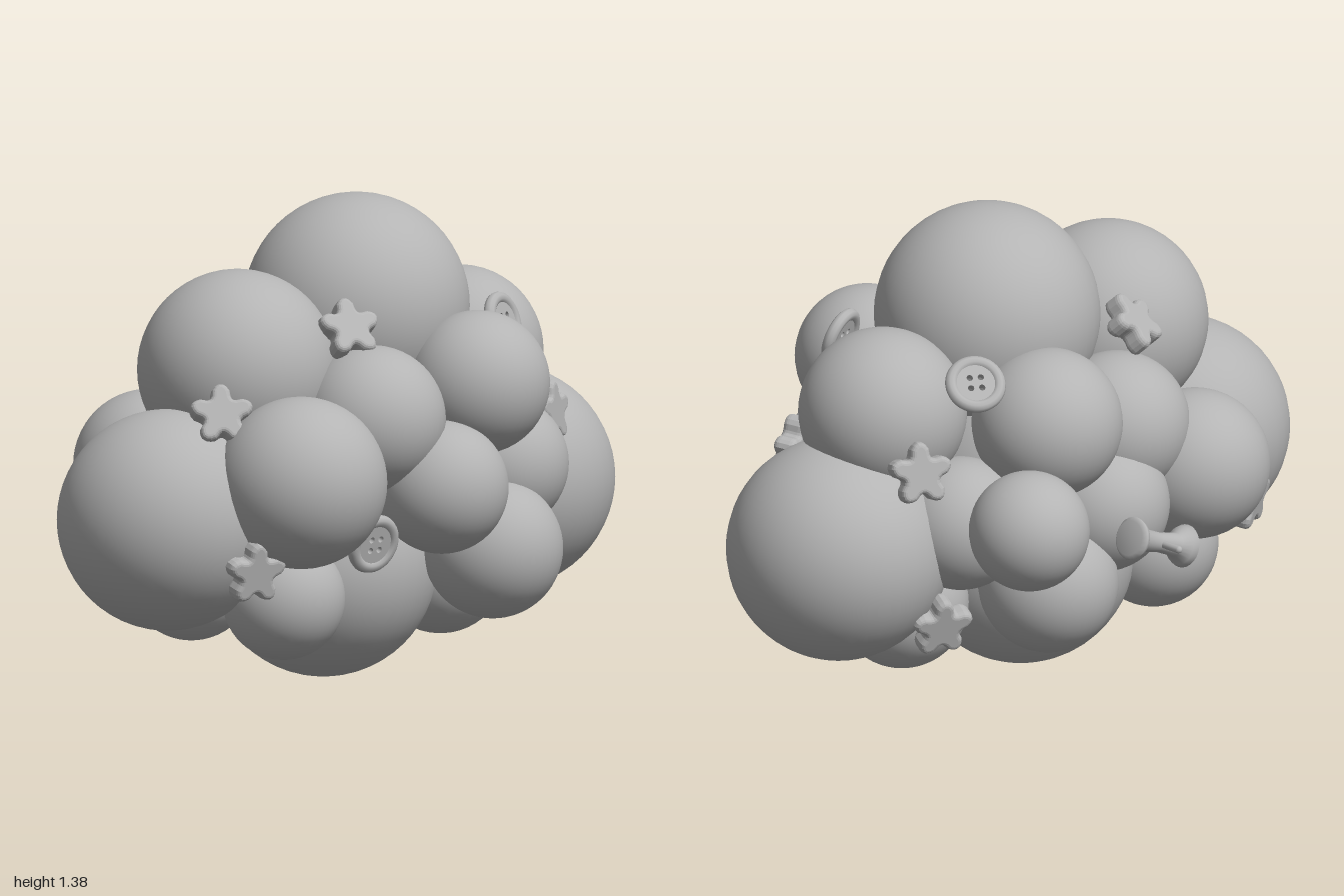
import * as THREE from 'three';

const grey = new THREE.MeshStandardMaterial({ color: 0xb4b4b4 });
grey.name = 'plain grey';

// Puffs of the cloud: name, x, y, z, radius
const puffs = [
  ['topPuff', 0.04, 1.055, -0.083, 0.322],
  ['frontUpperPuff', 0.035, 0.92, 0.39, 0.285],
  ['frontPuff', 0.05, 0.52, 0.685, 0.315],
  ['backPuff', 0.03, 0.5, -0.68, 0.32],
  ['bottomPuff', 0.01, 0.325, 0.02, 0.325],
  ['backUpperPuff', 0.01, 0.88, -0.525, 0.24],
  ['leftFrontPuff', 0.385, 0.64, 0.485, 0.245],
  ['leftUpperPuff', 0.345, 0.785, 0.16, 0.21],
  ['leftMiddlePuff', 0.46, 0.585, -0.005, 0.19],
  ['leftShoulderPuff', 0.41, 0.86, -0.2, 0.205],
  ['leftBackPuff', 0.32, 0.6, -0.38, 0.195],
  ['leftLowerPuff', 0.42, 0.38, -0.25, 0.2],
  ['leftFrontLowerPuff', 0.26, 0.29, 0.43, 0.175],
  ['backLowerPuff', 0.04, 0.27, -0.42, 0.19],
  ['rightFrontPuff', -0.365, 0.6, 0.345, 0.215],
  ['rightLowerPuff', -0.33, 0.37, -0.2, 0.2],
  ['rightFrontLowerPuff', -0.17, 0.305, 0.37, 0.185],
  ['rightSidePuff', -0.47, 0.615, -0.41, 0.172],
  ['rightShoulderPuff', -0.305, 0.84, -0.18, 0.215],
  ['rightUpperPuff', -0.28, 0.755, 0.12, 0.208],
  ['rightMiddlePuff', -0.34, 0.56, 0, 0.195],
  ['rightBackPuff', -0.2, 0.57, -0.42, 0.19],
  ['core', 0, 0.6, 0, 0.36],
];

// Stars: position, outward direction
const stars = [
  [0.3, 1.04, 0.21, 0.8, 0.6, 0.3], [-0.26, 1.03, 0.2, -0.7, 0.7, 0.3],
  [0.23, 0.83, 0.65, 1, 0.7, 0.8], [0.37, 0.4, 0.66, 1, -0.2, 0.3],
  [-0.26, 0.39, 0.66, -1, -0.2, 0.5], [0.29, 0.72, -0.6, 1, 0.1, -0.4],
  [-0.24, 0.78, -0.62, -1, 0.3, -0.5], [0.33, 0.32, -0.51, 1, -0.4, -0.3],
  [-0.25, 0.31, -0.55, -1, -0.3, -0.4],
];

// Buttons: position, outward direction
const buttons = [
  [0.41, 0.44, 0.22, 1, -0.25, 0.1],
  [0.3, 1.0, -0.41, 1, 0.3, -0.3],
  [-0.25, 1.0, -0.41, -0.6, 0.7, -0.4],
];

function add(parent, name, geometry, x = 0, y = 0, z = 0) {
  const mesh = new THREE.Mesh(geometry, grey);
  mesh.name = name;
  mesh.position.set(x, y, z);
  parent.add(mesh);
  return mesh;
}

// Turns a part so its own +z points along the outward direction
function place(object, [x, y, z, dx, dy, dz]) {
  object.position.set(x, y, z);
  object.lookAt(x + dx, y + dy, z + dz);
}

// Soft five-pointed star with rounded tips
function starGeometry() {
  const at = (i, r) => {
    const a = Math.PI / 2 + (i * Math.PI) / 5;
    return [r * Math.cos(a), r * Math.sin(a)];
  };
  const shape = new THREE.Shape();
  shape.moveTo(...at(-0.3, 0.068));
  for (let i = 0; i < 10; i += 2) {
    shape.quadraticCurveTo(...at(i, 0.09), ...at(i + 0.3, 0.068));
    shape.quadraticCurveTo(...at(i + 1, 0.022), ...at(i + 1.7, 0.068));
  }
  const geometry = new THREE.ExtrudeGeometry(shape, {
    depth: 0.03, bevelThickness: 0.018, bevelSize: 0.014, bevelSegments: 4, curveSegments: 5,
  });
  return geometry.translate(0, 0, -0.015);
}

// Four-hole button with a raised rim
function makeButton() {
  const button = new THREE.Group();
  const disc = new THREE.Shape().absarc(0, 0, 0.075, 0, Math.PI * 2);
  for (const sx of [-1, 1]) for (const sy of [-1, 1]) {
    disc.holes.push(new THREE.Path().absarc(sx * 0.016, sy * 0.016, 0.009, 0, Math.PI * 2));
  }
  add(button, 'buttonDisc', new THREE.ExtrudeGeometry(disc, {
    depth: 0.022, bevelEnabled: false, curveSegments: 20,
  }), 0, 0, -0.011);
  add(button, 'buttonRim', new THREE.TorusGeometry(0.069, 0.018, 10, 40));
  return button;
}

// Small spool with a pin through its side
function makeSpool() {
  const spool = new THREE.Group();
  spool.name = 'spool';
  const half = [[0, 0.12], [0.05, 0.12], [0.062, 0.108], [0.055, 0.092], [0.034, 0.07], [0.028, 0]];
  const mirrored = half.slice(0, -1).reverse().map(([r, h]) => [r, -h]);
  const profile = [...half, ...mirrored].reverse().map(([r, h]) => new THREE.Vector2(r, h));
  add(spool, 'spoolBody', new THREE.LatheGeometry(profile, 24)).rotation.x = Math.PI / 2;
  add(spool, 'spoolPin', new THREE.CapsuleGeometry(0.011, 0.1, 4, 10), -0.035, 0, 0).rotation.z = Math.PI / 2;
  spool.position.set(-0.565, 0.5, 0.005);
  spool.rotation.x = 0.35;
  return spool;
}

export function createModel() {
  const model = new THREE.Group();
  model.name = 'puffyCloud';

  for (const [name, x, y, z, r] of puffs) {
    add(model, name, new THREE.SphereGeometry(r, 40, 28), x, y, z);
  }

  const star = starGeometry();
  stars.forEach((s, i) => place(add(model, `star${i + 1}`, star), s));

  buttons.forEach((b, i) => {
    const button = makeButton();
    button.name = `button${i + 1}`;
    place(button, b);
    model.add(button);
  });

  model.add(makeSpool());
  return model;
}
